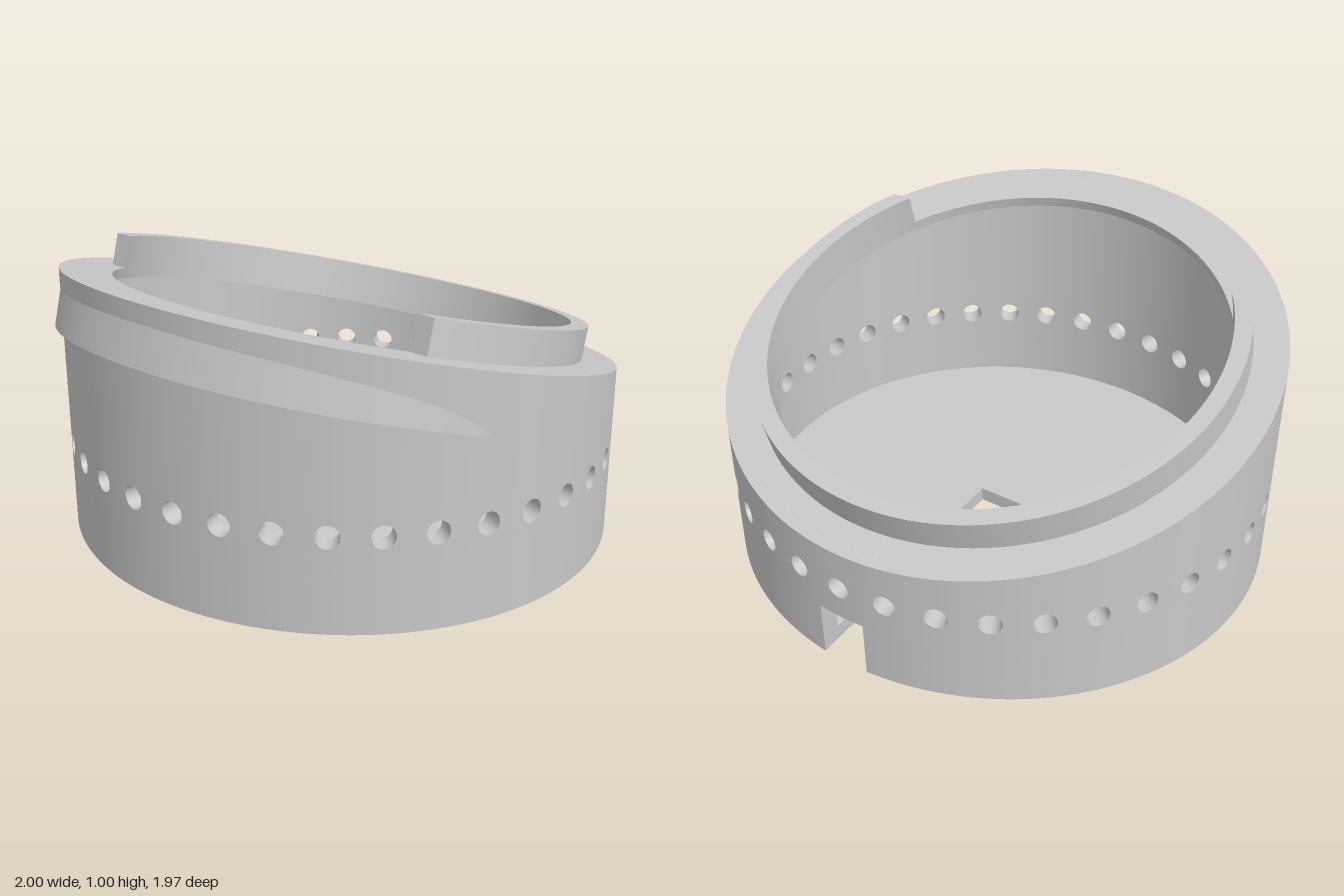
import * as THREE from 'three';
import { mergeGeometries, mergeVertices, toCreasedNormals } from 'three/addons/utils/BufferGeometryUtils.js';

const TILT = Math.PI / 12, ZC = -0.018, Y0 = 0.743;
const SQ = Math.cos(TILT);               // the wall is a tilted circle projected straight down
const R_OUT = 1, R_IN = 0.927;           // thin drilled wall
const R_BORE = 0.816, R_SEAT = 0.96, RIM_T = 0.04; // plate with the opening at the top
const FLOOR = 0.054, SLOT = 0.088, NOTCH_TOP = 0.21;
const HOLES = 36, HOLE_Y = 0.335, HOLE_R = 0.04, CELL = Math.PI / HOLES;
const TAU = Math.PI * 2;

// point on the wall, angle measured from the back towards +x
const wall = (r, a, y) => [r * Math.sin(a), y, ZC - r * SQ * Math.cos(a)];
const topY = (r, a) => Y0 - r * SQ * Math.cos(a) * Math.tan(TILT);

// grid surface through fn(u, v), u and v from 0 to 1
function sheet(fn, nu, nv, flip = false) {
  const pos = [], idx = [];
  for (let j = 0; j <= nv; j++)
    for (let i = 0; i <= nu; i++) pos.push(...fn(i / nu, j / nv));
  for (let j = 0; j < nv; j++)
    for (let i = 0; i < nu; i++) {
      const a = j * (nu + 1) + i, b = a + 1, c = a + nu + 1, d = c + 1;
      if (flip) idx.push(a, c, b, b, c, d);
      else idx.push(a, b, c, b, d, c);
    }
  const g = new THREE.BufferGeometry();
  g.setAttribute('position', new THREE.Float32BufferAttribute(pos, 3));
  g.setIndex(idx);
  return g;
}

function smooth(list) {
  const g = mergeVertices(mergeGeometries(list), 1e-4);
  g.computeVertexNormals();
  return g;
}

// point on a square cell outline, counter-clockwise, -1..1
function square(u) {
  const s = (u * 4) % 4, k = Math.floor(s), f = (s - k) * 2 - 1;
  return [[f, -1], [1, f], [-f, 1], [-1, -f]][k];
}

// point on the rim of a drilled hole
function holeRim(r, k, u) {
  const [sx, sy] = square(u), l = Math.hypot(sx, sy);
  return [2 * CELL * k + (HOLE_R / r) * sx / l, HOLE_Y + HOLE_R * sy / l];
}

// one side of the drilled wall: lower band with notch, hole cells, slanted top band
function wallSkin(r, drop, flip) {
  const a = Math.asin(SLOT / r), n = HOLES * 8;
  const lo = HOLE_Y - CELL, hi = HOLE_Y + CELL;
  const list = [
    sheet((u, v) => wall(r, a + u * (TAU - 2 * a), FLOOR + v * (NOTCH_TOP - FLOOR)), n, 1, flip),
    sheet((u, v) => wall(r, u * TAU - CELL, NOTCH_TOP + v * (lo - NOTCH_TOP)), n, 1, flip),
    sheet((u, v) => {
      const t = u * TAU - CELL;
      return wall(r, t, hi + v * (topY(r, t) - drop - hi));
    }, n, 3, flip),
  ];
  for (let k = 0; k < HOLES; k++)
    list.push(sheet((u, v) => {
      const [sx, sy] = square(u), [ha, hy] = holeRim(r, k, u);
      const ca = CELL * (2 * k + sx), cy = HOLE_Y + CELL * sy;
      return wall(r, ca + (ha - ca) * v, cy + (hy - cy) * v);
    }, 32, 3, flip));
  return smooth(list);
}

// upright extrusion of a plan shape whose y axis points to the back
function slab(shape, y, height) {
  const g = new THREE.ExtrudeGeometry(shape, { depth: height, bevelEnabled: false, curveSegments: 96 });
  g.rotateX(-Math.PI / 2);
  g.translate(0, y, 0);
  return toCreasedNormals(g, 0.5);
}

// ring segment in plan
function arcShape(ro, ao0, ao1, ri, ai0, ai1) {
  const s = new THREE.Shape();
  s.absarc(0, 0, ro, ao0, ao1, false);
  s.absarc(0, 0, ri, ai1, ai0, true);
  s.closePath();
  return s;
}

export function createModel() {
  const model = new THREE.Group();
  const grey = new THREE.MeshStandardMaterial({ color: 0xc8c8c8, side: THREE.DoubleSide });
  grey.name = 'grey';
  const add = (name, geometry, parent = model) => {
    const m = new THREE.Mesh(geometry, grey);
    m.name = name;
    parent.add(m);
  };

  // drilled wall
  add('outerWall', wallSkin(R_OUT, 0, true));
  add('innerWall', wallSkin(R_IN, RIM_T / SQ, false));
  const bores = [];
  for (let k = 0; k < HOLES; k++)
    bores.push(sheet((u, v) => {
      const r = v ? R_IN : R_OUT, [a, y] = holeRim(r, k, u);
      return wall(r, a, y);
    }, 32, 1, true));
  add('holeBores', smooth(bores));
  add('wallTop', smooth([sheet((u, v) => {
    const r = R_SEAT + v * (R_OUT - R_SEAT), a = u * TAU;
    return wall(r, a, topY(r, a));
  }, 288, 1)]));

  // sides and ceiling of the notch through the back wall
  const radius = v => R_IN + v * (R_OUT - R_IN);
  for (const s of [-1, 1])
    add('notchSide', smooth([sheet((u, v) => {
      const r = radius(u);
      return wall(r, s * Math.asin(SLOT / r), FLOOR + v * (NOTCH_TOP - FLOOR));
    }, 4, 1, s > 0)]));
  add('notchCeiling', smooth([sheet((u, v) => {
    const r = radius(v);
    return wall(r, (2 * u - 1) * Math.asin(SLOT / r), NOTCH_TOP);
  }, 8, 1, true)]));

  // floor plate with a slot running from the back edge to the middle
  const plate = new THREE.Shape(), a0 = Math.asin(SLOT);
  for (let i = 0; i <= 288; i++) {
    const [x, , z] = wall(R_OUT, a0 + (i / 288) * (TAU - 2 * a0), 0);
    if (i) plate.lineTo(x, -z); else plate.moveTo(x, -z);
  }
  plate.lineTo(-SLOT, 0.02);
  plate.lineTo(SLOT, 0.02);
  plate.closePath();
  add('floorPlate', slab(plate, 0, FLOOR));

  // tilted parts: rim plate with its opening, open collar and overhanging front lip
  const tilted = new THREE.Group();
  tilted.name = 'tiltedTop';
  tilted.position.set(0, Y0, ZC);
  tilted.rotation.x = -TILT;
  model.add(tilted);
  const rim = new THREE.Shape().absarc(0, 0, R_SEAT, 0, TAU, false);
  rim.holes.push(new THREE.Path().absarc(0, 0, R_BORE, 0, TAU, true));
  add('rimPlate', slab(rim, -RIM_T, RIM_T), tilted);
  const CUT = 0.443, RC = 0.877;
  const ao = Math.asin(CUT / RC), ai = Math.asin(CUT / R_BORE);
  add('collar', slab(arcShape(RC, -ao, Math.PI + ao, R_BORE, -ai, Math.PI + ai), 0, 0.119), tilted);
  const l0 = Math.PI + 0.1, l1 = TAU - 0.1;
  add('frontLip', slab(arcShape(0.983, l0, l1, 0.94, l0, l1), -0.2, 0.165), tilted);

  return model;
}
